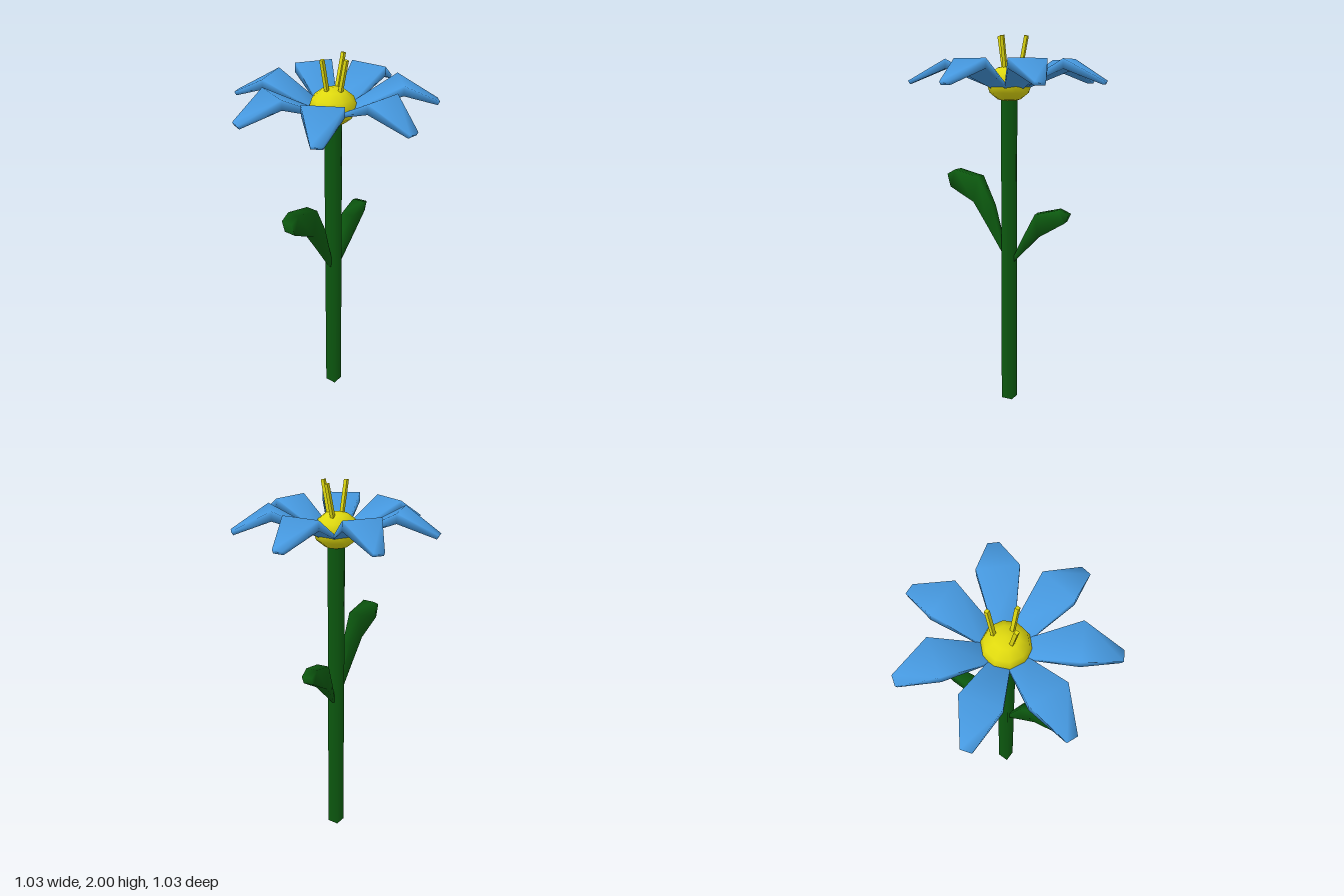
import * as THREE from 'three';

const mat = (name, color, extra = {}) => Object.assign(new THREE.MeshStandardMaterial({ color, ...extra }), { name });

// Smooth four-sided solid running along +z; ring = [lower z, lower y, upper z, upper y, half width]
function sweep(rings) {
  const pos = [], idx = [];
  for (const [zl, yl, zu, yu, w] of rings) pos.push(w, yl, zl, w, yu, zu, -w, yu, zu, -w, yl, zl);
  for (let r = 0; r < rings.length - 1; r++) {
    for (let i = 0; i < 4; i++) {
      const a = r * 4 + i, b = r * 4 + (i + 1) % 4;
      idx.push(a, b, b + 4, a, b + 4, a + 4);
    }
  }
  const e = (rings.length - 1) * 4;
  idx.push(0, 2, 1, 0, 3, 2, e, e + 1, e + 2, e, e + 2, e + 3);
  const g = new THREE.BufferGeometry();
  g.setAttribute('position', new THREE.Float32BufferAttribute(pos, 3));
  g.setIndex(idx);
  g.computeVertexNormals();
  return g;
}

export function createModel() {
  const flower = new THREE.Group();
  flower.name = 'flower';
  const blue = mat('petal blue', 0x4699e0);
  const green = mat('stem green', 0x0d5c10);
  const yellow = mat('pollen yellow', 0xdfd90e);
  const CX = -0.008, CZ = 0.015;

  const add = (name, geo, material, x = 0, y = 0, z = 0, turn = 0) => {
    const m = new THREE.Mesh(geo, material);
    m.name = name;
    m.position.set(x, y, z);
    m.rotation.y = turn;
    flower.add(m);
    return m;
  };

  // Square stem with softened corners
  add('stem', new THREE.CylinderGeometry(0.045, 0.045, 1.69, 4), green, CX, 0.845, CZ, Math.PI / 4);

  // Seven petals rising from the stem, widening, then drooping
  const petal = sweep([
    [0.0, 1.665, 0.0, 1.70, 0.03],
    [0.10, 1.735, 0.10, 1.755, 0.052],
    [0.33, 1.83, 0.33, 1.88, 0.1],
    [0.515, 1.752, 0.525, 1.77, 0.028],
  ]);
  for (let k = 0; k < 7; k++) {
    const angle = THREE.MathUtils.degToRad(8.4) + (k * Math.PI * 2) / 7;
    add('petal', petal, blue, CX, 0, CZ, Math.PI / 2 - angle);
  }

  // Domed flower centre
  const dome = new THREE.SphereGeometry(0.119, 10, 6);
  dome.scale(1, 0.8, 1);
  add('flowerCentre', dome, yellow, CX, 1.755, CZ, 0.15);

  // Three stamens leaning outward
  const up = new THREE.Vector3(0, 1, 0);
  const stamens = [
    [0.03, 0.015, 0.071, 0.015],
    [-0.028, -0.035, -0.018, -0.08],
    [-0.016, 0.045, -0.024, 0.079],
  ];
  for (const [x0, z0, x1, z1] of stamens) {
    const a = new THREE.Vector3(x0, 1.8, z0), b = new THREE.Vector3(x1, 1.998, z1);
    const d = b.clone().sub(a);
    const s = add('stamen', new THREE.BoxGeometry(0.018, d.length(), 0.018), yellow);
    s.position.copy(a).lerp(b, 0.5);
    s.quaternion.setFromUnitVectors(up, d.normalize());
  }

  // Large front leaf and smaller rear leaf
  add('frontLeaf', sweep([
    [0.035, 0.81, 0.03, 0.84, 0.008],
    [0.14, 0.985, 0.11, 1.10, 0.022],
    [0.22, 1.115, 0.19, 1.255, 0.033],
    [0.365, 1.19, 0.335, 1.288, 0.033],
    [0.367, 1.193, 0.385, 1.26, 0.032],
  ]), green, CX);
  add('rearLeaf', sweep([
    [0.01, 0.79, 0.01, 0.82, 0.008],
    [0.08, 0.865, 0.07, 0.94, 0.02],
    [0.157, 0.945, 0.139, 1.07, 0.033],
    [0.30, 1.03, 0.267, 1.10, 0.03],
    [0.303, 1.032, 0.323, 1.075, 0.028],
  ]), green, CX, 0, 0, Math.PI + 0.16);

  return flower;
}
